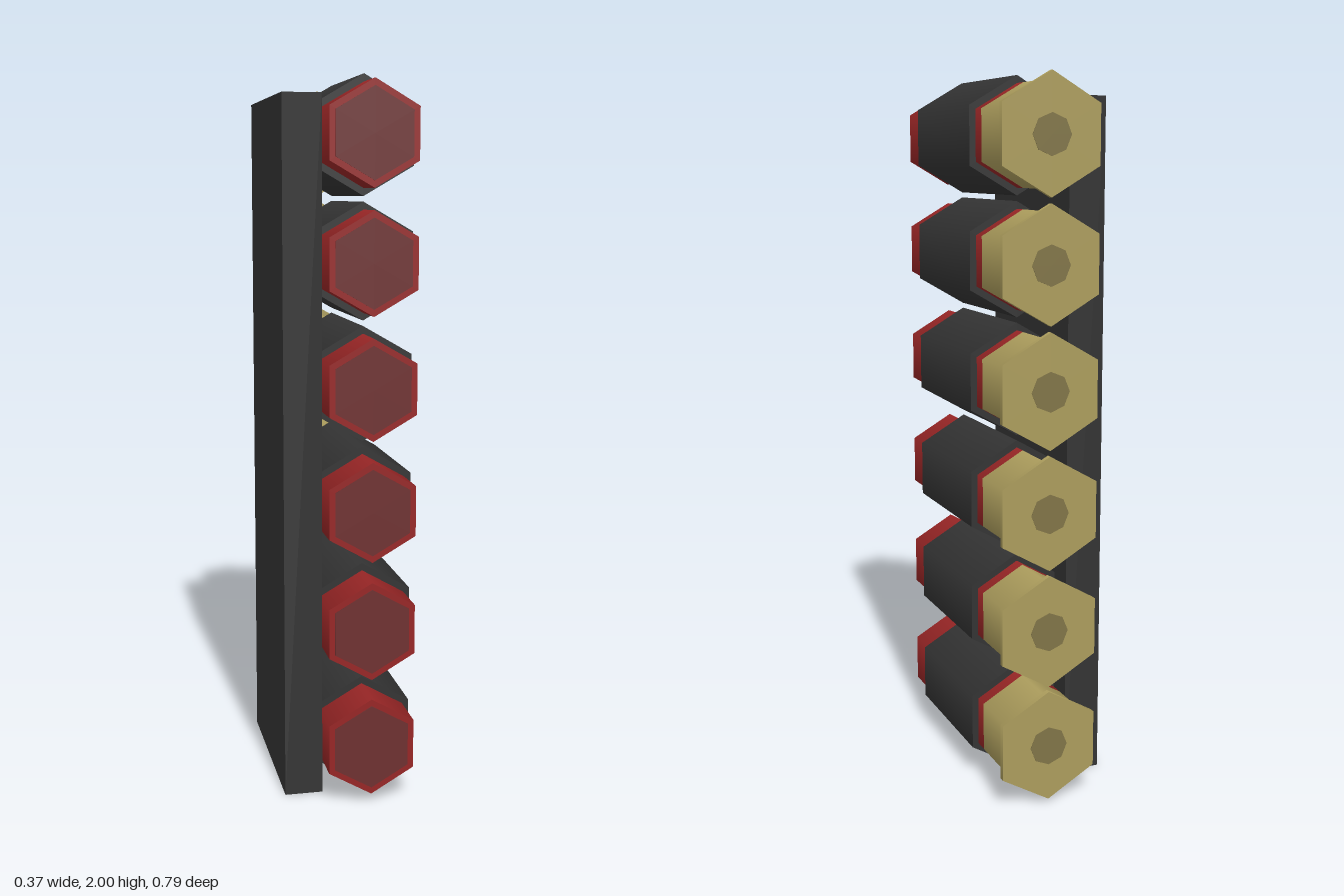
import * as THREE from 'three';

const mat = (name, color) => {
  const m = new THREE.MeshStandardMaterial({ color });
  m.name = name;
  return m;
};

export function createModel() {
  const black = mat('black', 0x333333);
  const red = mat('red', 0x962525);
  const dullRed = mat('dull red', 0x6e3030);
  const brass = mat('brass', 0xab9c5c);
  const darkBrass = mat('dark brass', 0x807447);

  const COUNT = 6, PITCH = 0.335, FIRST_Y = 0.166, AXIS_X = 0.043;
  const model = new THREE.Group();
  model.name = 'shellHolder';

  // Prism along z between two depths, with a corner pointing up
  const prism = (radius, zBack, zFront, sides = 6) =>
    new THREE.CylinderGeometry(radius, radius, zFront - zBack, sides)
      .rotateX(Math.PI / 2)
      .translate(0, 0, (zBack + zFront) / 2);

  // Backing plate
  const plate = new THREE.Mesh(new THREE.BoxGeometry(0.107, 1.948, 0.541), black);
  plate.name = 'backingPlate';
  plate.position.set(-0.1315, 0.974, 0.0275);
  model.add(plate);

  // Parts shared by every shell
  const parts = [
    ['sleeve', prism(0.16, -0.163, 0.265), black],
    ['hull', prism(0.139, -0.205, 0.394), red],
    ['crimp', prism(0.12, 0.392, 0.396), dullRed],
    ['brassHead', prism(0.139, -0.38, -0.205), brass],
    ['rim', prism(0.16, -0.396, -0.38), brass],
    ['primer', prism(0.055, -0.398, -0.394, 8), darkBrass],
  ];

  // Row of shells, each in its own sleeve
  for (let i = 0; i < COUNT; i++) {
    const shell = new THREE.Group();
    shell.name = 'shell' + (i + 1);
    for (const [name, geometry, material] of parts) {
      const mesh = new THREE.Mesh(geometry, material);
      mesh.name = name;
      shell.add(mesh);
    }
    shell.position.set(AXIS_X, FIRST_Y + i * PITCH, 0);
    model.add(shell);
  }
  return model;
}
